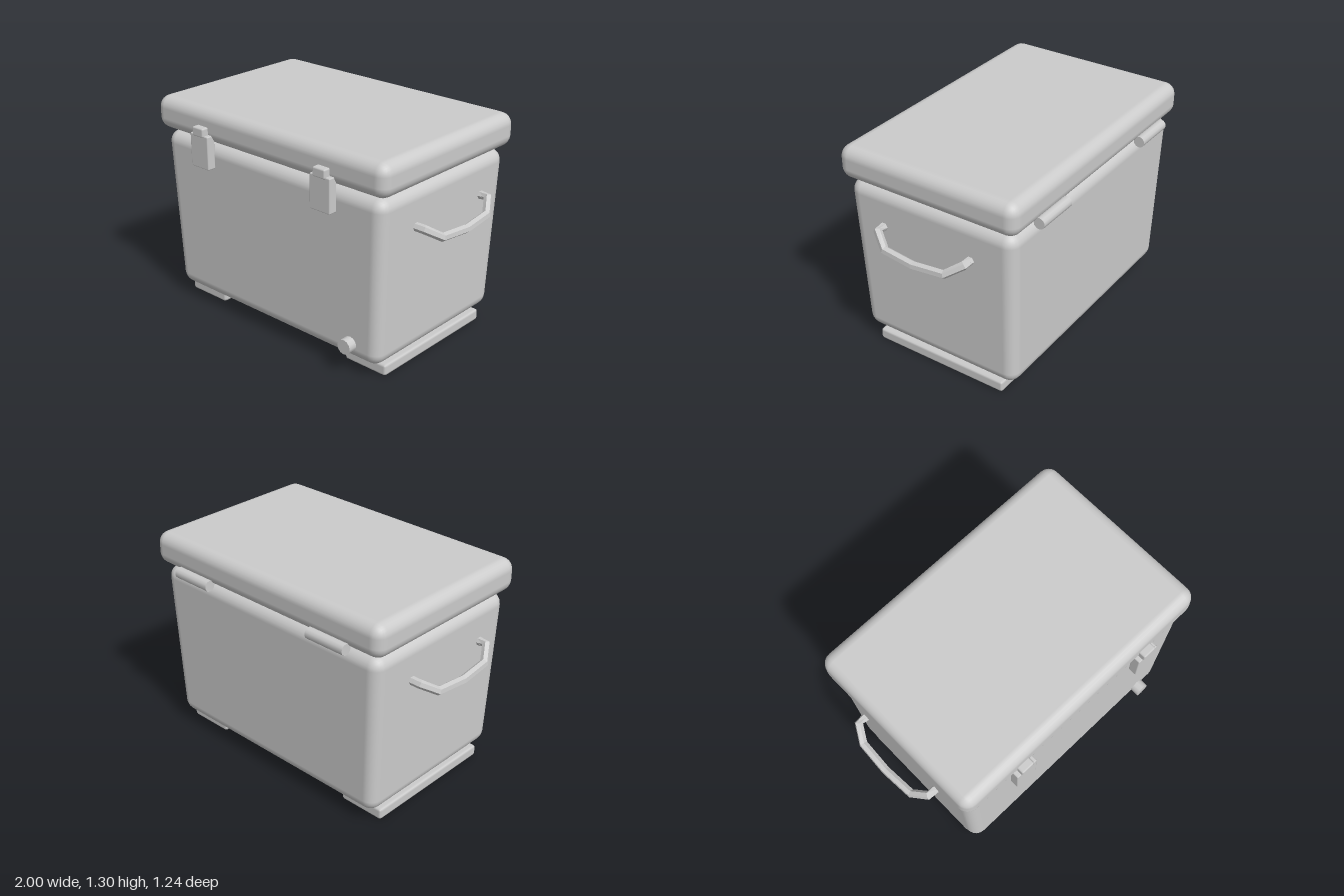
import * as THREE from 'three';
import { RoundedBoxGeometry } from 'three/addons/geometries/RoundedBoxGeometry.js';

const grey = new THREE.MeshStandardMaterial({ color: 0xcccccc });
const faceted = new THREE.MeshStandardMaterial({ color: 0xcccccc, flatShading: true });

// Polyline whose parameter lands exactly on each corner
class Polyline extends THREE.Curve {
  constructor(points) {
    super();
    this.points = points;
  }
  getPoint(t, target = new THREE.Vector3()) {
    const n = this.points.length - 1;
    const i = Math.min(Math.floor(t * n), n - 1);
    return target.lerpVectors(this.points[i], this.points[i + 1], t * n - i);
  }
  getUtoTmapping(u) {
    return u;
  }
}

export function createModel() {
  const group = new THREE.Group();

  const add = (name, geometry, x, y, z, material = grey, parent = group) => {
    const mesh = new THREE.Mesh(geometry, material);
    mesh.name = name;
    mesh.position.set(x, y, z);
    parent.add(mesh);
    return mesh;
  };
  const roundBox = (w, h, d, r, segments = 1) => new RoundedBoxGeometry(w, h, d, segments, r);

  // Tub, narrowing towards the base
  const tubHeight = 1.006;
  const tub = roundBox(1.68, tubHeight, 1.1, 0.075, 3);
  const pos = tub.attributes.position;
  for (let i = 0; i < pos.count; i++) {
    const s = 0.976 + (0.048 * pos.getY(i)) / tubHeight;
    pos.setX(i, pos.getX(i) * s);
    pos.setZ(i, pos.getZ(i) * s);
  }
  add('tub', tub, 0, 0.08 + tubHeight / 2, 0);

  // Overhanging lid
  add('lid', roundBox(1.75, 0.2, 1.16, 0.07, 3), 0, 1.2, 0);

  // Parts that appear on both sides
  for (const side of [1, -1]) {
    const label = side > 0 ? 'left' : 'right';

    add(label + 'Foot', roundBox(0.294, 0.07, 0.876, 0.016), side * 0.643, 0.035, 0);

    // Latch with its small catch
    const latch = new THREE.Group();
    latch.name = label + 'Latch';
    group.add(latch);
    add('latchPlate', roundBox(0.144, 0.202, 0.056, 0.007), side * 0.466, 1.055, 0.585, grey, latch);
    add('latchCatch', roundBox(0.088, 0.056, 0.05, 0.01), side * 0.466, 1.173, 0.597, grey, latch);

    // Hinge barrel at the back
    const barrel = new THREE.CylinderGeometry(0.034, 0.034, 0.264, 12).rotateZ(Math.PI / 2);
    add(label + 'Hinge', barrel, side * 0.524, 1.107, -0.584);

    // Drooping carry handle with capped ends
    const handle = new THREE.Group();
    handle.name = label + 'Handle';
    group.add(handle);
    const half = [[0.855, 0.879, 0.29], [0.908, 0.879, 0.29], [0.964, 0.82, 0.2]];
    const path = [
      ...half,
      [0.975, 0.806, 0],
      ...half.map(([x, y, z]) => [x, y, -z]).reverse(),
    ].map(([x, y, z]) => new THREE.Vector3(side * x, y, z));
    add('handleBar', new THREE.TubeGeometry(new Polyline(path), path.length - 1, 0.025, 6), 0, 0, 0, faceted, handle);
    for (const z of [0.29, -0.29]) {
      const cap = new THREE.CylinderGeometry(0.023, 0.023, 0.02, 6).rotateZ(Math.PI / 2);
      add('handleEnd', cap, side * 0.866, 0.879, z, faceted, handle);
    }
  }

  // Drain plug low on the front
  add('drainPlug', new THREE.CylinderGeometry(0.045, 0.045, 0.08, 12).rotateX(Math.PI / 2), 0.61, 0.18, 0.54);

  return group;
}
